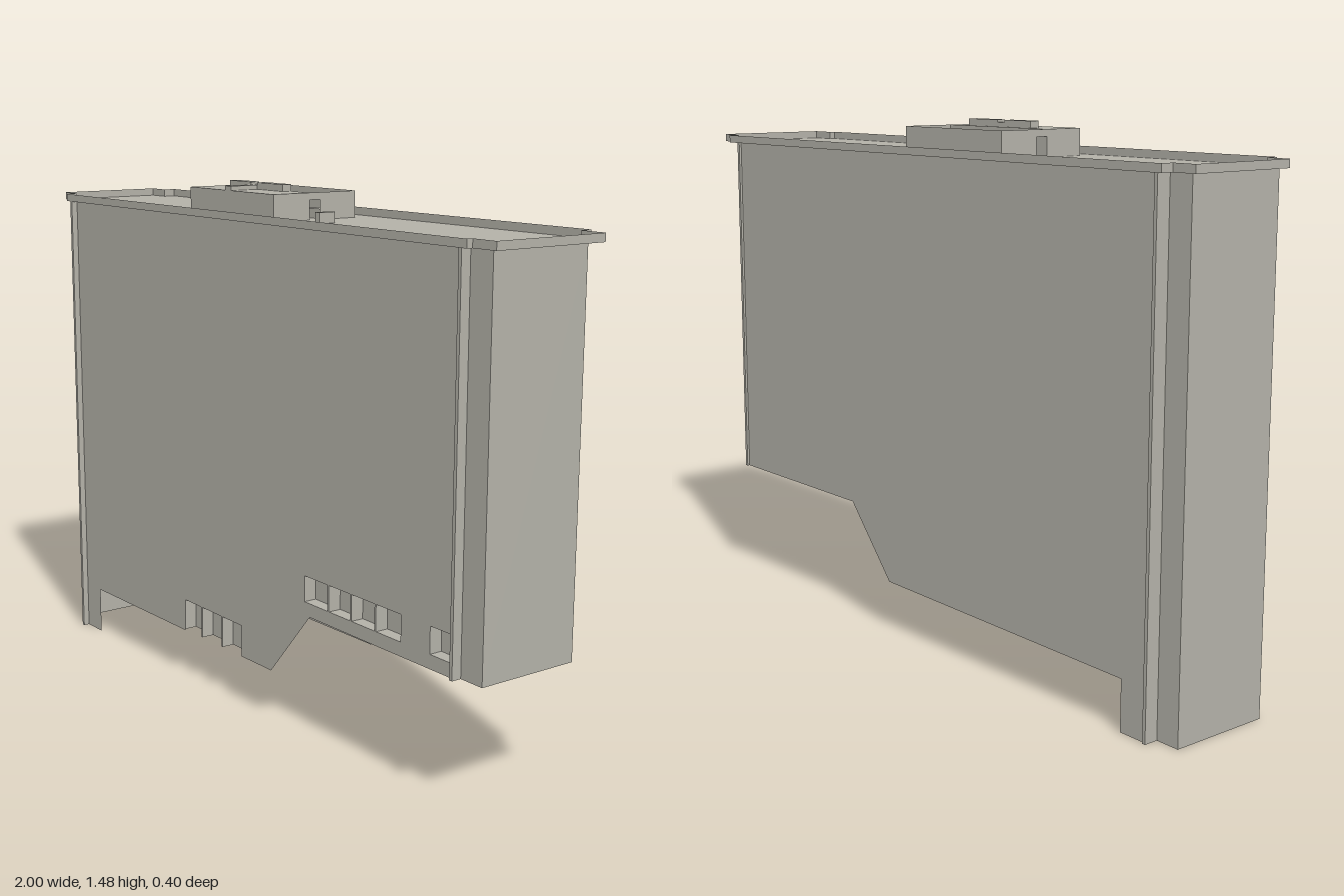
import * as THREE from 'three';

export function createModel() {
  const model = new THREE.Group();
  model.name = 'slabBuilding';
  const concrete = new THREE.MeshStandardMaterial({ color: 0xb3b1a8, side: THREE.DoubleSide });
  concrete.name = 'concrete grey';
  const ROOF = 1.383;

  const add = (name, geometry, parent = model) => {
    const mesh = new THREE.Mesh(geometry, concrete);
    mesh.name = name;
    parent.add(mesh);
    return mesh;
  };
  const path = (pts, Type = THREE.Shape) => new Type(pts.map(([x, y]) => new THREE.Vector2(x, y)));
  const rect = (x0, x1, y0, y1) => [[x0, y0], [x1, y0], [x1, y1], [x0, y1]];

  // Flat upright sheet in the xy plane at depth z
  const sheet = (name, pts, z, holes = [], parent = model) => {
    const shape = path(pts);
    shape.holes = holes.map((h) => path(h, THREE.Path));
    add(name, new THREE.ShapeGeometry(shape), parent).position.z = z;
  };
  // Flat upright sheet in the yz plane
  const side = (name, x, z0, z1, y0, y1, parent = model) => {
    const g = new THREE.PlaneGeometry(Math.abs(z1 - z0), y1 - y0);
    g.rotateY(Math.PI / 2);
    add(name, g, parent).position.set(x, (y0 + y1) / 2, (z0 + z1) / 2);
  };
  // Horizontal sheet
  const deck = (name, x0, x1, z0, z1, y, parent = model) => {
    const g = new THREE.PlaneGeometry(x1 - x0, z1 - z0);
    g.rotateX(-Math.PI / 2);
    add(name, g, parent).position.set((x0 + x1) / 2, y, (z0 + z1) / 2);
  };
  const box = (name, x0, x1, y0, y1, z0, z1, parent = model) => {
    const g = new THREE.BoxGeometry(x1 - x0, y1 - y0, z1 - z0);
    add(name, g, parent).position.set((x0 + x1) / 2, (y0 + y1) / 2, (z0 + z1) / 2);
  };

  // Window bands: divider positions, height range, and whether the band is closed below
  const bands = [
    { xs: [0.295, 0.4, 0.495, 0.595, 0.695], y0: 0.39, y1: 0.462, sill: true },
    { xs: [0.805, 0.889], y0: 0.39, y1: 0.462, sill: true },
    { xs: [-0.3, -0.21, -0.105, -0.005], y0: 0.148, y1: 0.24, sill: false },
  ];

  // Long walls with the stepped lower edge
  const L = -0.9, R = 0.895, FRONT = 0.179, BACK = -0.179;
  const upper = [[0.14, 0.149], [0.318, 0.352], [R, 0.352], [R, ROOF], [L, ROOF]];
  sheet('frontWall', [
    [L, 0], [-0.812, 0], [-0.812, 0.14],
    [-0.3, 0.144], [-0.3, 0.24], [-0.005, 0.24], [-0.005, 0.148], ...upper,
  ], FRONT, bands.filter((b) => b.sill).map((b) => rect(b.xs[0], b.xs[b.xs.length - 1], b.y0, b.y1)));
  sheet('backWall', [[L, 0], [-0.812, 0], [-0.812, 0.14], ...upper], BACK);

  // Recessed windows with dividers
  const inner = 0.142;
  for (const { xs, y0, y1, sill } of bands) {
    const group = new THREE.Group();
    group.name = 'windowBand';
    model.add(group);
    const a = xs[0], b = xs[xs.length - 1];
    sheet('windowPane', rect(a, b, y0, y1), inner, [], group);
    deck('windowHead', a, b, inner, FRONT, y1, group);
    if (sill) deck('windowSill', a, b, inner, FRONT, y0, group);
    xs.forEach((x, i) => {
      if (i === 0 || i === xs.length - 1) side('windowJamb', x, inner, FRONT, y0, y1, group);
      else box('windowDivider', x - 0.003, x + 0.003, y0, y1, inner, FRONT, group);
    });
  }

  // Narrow end bays, set back from the long walls, with corner fins
  const ends = [
    { x: -0.975, join: L, y: 0, zf: 0.153, zb: -0.145, finF: 0.197, finB: -0.186 },
    { x: 0.975, join: R, y: 0.352, zf: 0.163, zb: -0.136, finF: 0.191, finB: -0.186 },
  ];
  for (const e of ends) {
    const x0 = Math.min(e.x, e.join), x1 = Math.max(e.x, e.join);
    side('endWall', e.x, e.zb, e.zf, e.y, ROOF);
    sheet('endBayFront', rect(x0, x1, e.y, ROOF), e.zf);
    sheet('endBayBack', rect(x0, x1, e.y, ROOF), e.zb);
    const f0 = e.join - 0.005, f1 = e.join + 0.005;
    box('cornerFin', f0, f1, e.y, ROOF, e.zf, e.finF);
    box('cornerFin', f0, f1, e.y, ROOF, e.finB, e.zb);
  }

  // Overhanging roof deck with notched corners and a thin rim
  const plan = [
    [-1, 0.16], [-0.93, 0.16], [-0.93, 0.195], [0.922, 0.195], [0.922, 0.178], [1, 0.178],
    [1, -0.167], [0.922, -0.167], [0.922, -0.2], [-0.93, -0.2], [-0.93, -0.163], [-1, -0.163],
  ];
  const roof = new THREE.ShapeGeometry(path(plan.map(([x, z]) => [x, -z])));
  roof.rotateX(-Math.PI / 2);
  add('roofDeck', roof).position.y = ROOF;
  const rimHeight = 0.022;
  plan.forEach(([x, z], i) => {
    const [nx, nz] = plan[(i + 1) % plan.length];
    const g = new THREE.PlaneGeometry(Math.hypot(nx - x, nz - z), rimHeight);
    g.rotateY(-Math.atan2(nz - z, nx - x));
    add('roofRim', g).position.set((x + nx) / 2, ROOF + rimHeight / 2, (z + nz) / 2);
  });

  // Rooftop plant room: covered front half, open yard behind
  const plant = new THREE.Group();
  plant.name = 'plantRoom';
  model.add(plant);
  const top = 1.456, px0 = -0.305, px1 = 0.098;
  box('plantHouse', px0, px1, ROOF, top, 0.018, 0.137, plant);
  sheet('yardBackWall', rect(px0, px1, ROOF, top), -0.139, [], plant);
  for (const [x, inside] of [[px0, -0.215], [px1, 0.03]]) {
    side('yardSideWall', x, -0.139, -0.018, ROOF, top, plant);
    side('doorHead', x, -0.018, 0.018, 1.437, top, plant);
    side('yardPartition', inside, -0.135, -0.03, ROOF, 1.41, plant);
    sheet('yardCrossWall', rect(Math.min(x, inside), Math.max(x, inside), ROOF, 1.41), -0.03, [], plant);
  }
  // T-shaped duct on the plant room
  box('ductRun', -0.235, -0.13, top, 1.475, 0.022, 0.05, plant);
  box('ductRun', -0.1, 0.02, top, 1.475, 0.022, 0.05, plant);
  box('ductStem', -0.13, -0.1, top, 1.468, 0.022, 0.137, plant);

  box('roofVent', 0.187, 0.207, ROOF, 1.412, 0.015, 0.066);
  return model;
}
